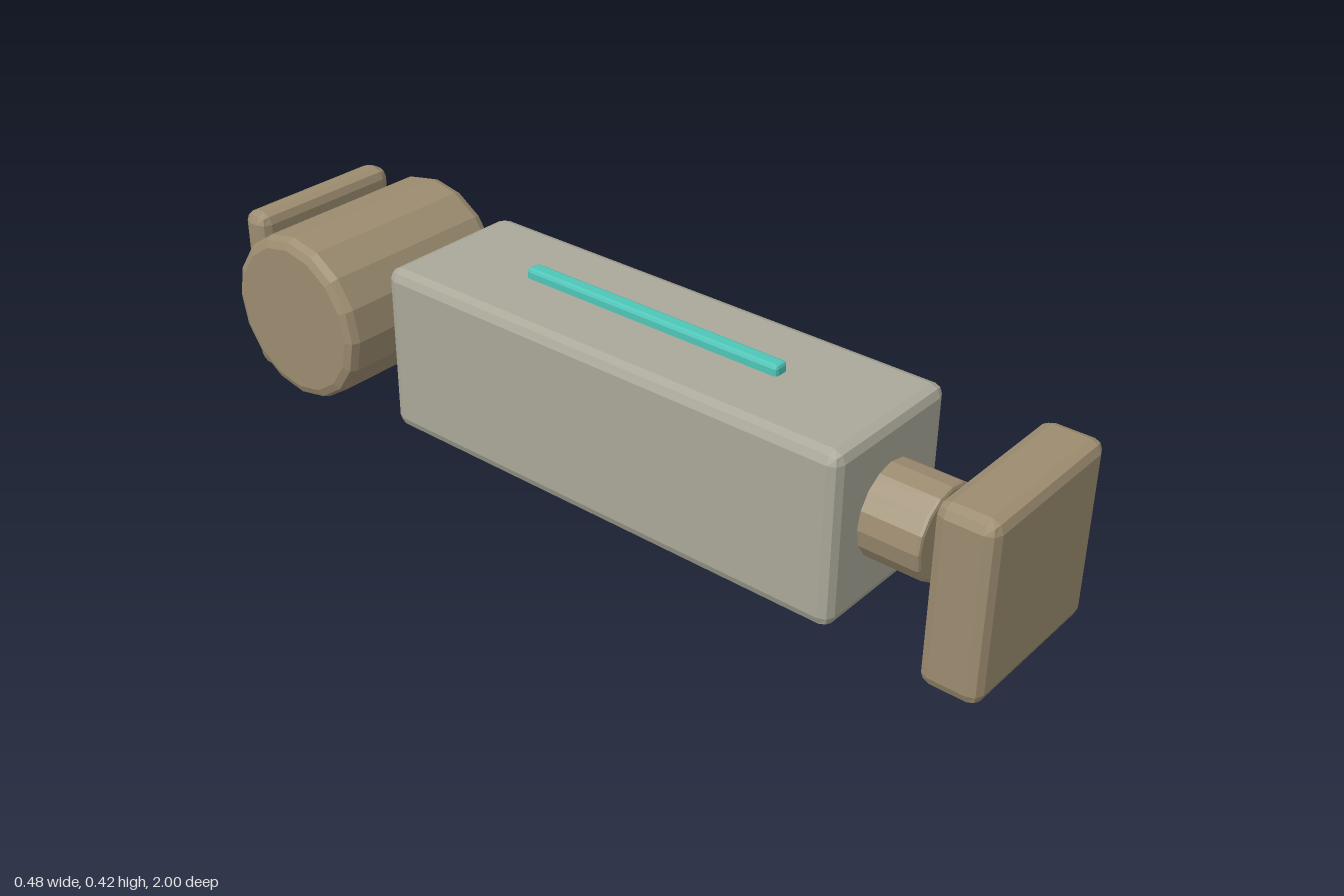
import * as THREE from 'three';
import { RoundedBoxGeometry } from 'three/addons/geometries/RoundedBoxGeometry.js';

const MID = 0.2; // height of the central axis

function material(name, color) {
  const m = new THREE.MeshStandardMaterial({ color, flatShading: true });
  m.name = name;
  return m;
}

// Box with two-step bevelled edges, given by its limits along y and z
function bevelBox(width, y0, y1, z0, z1, bevel) {
  return new RoundedBoxGeometry(width, y1 - y0, z1 - z0, 1, bevel)
    .translate(0, (y0 + y1) / 2, (z0 + z1) / 2);
}

// Sixteen-sided cylinder along y with two-step bevelled rims
function bevelCylinder(radius, length, bevel) {
  const h = length / 2;
  const k = bevel * (1 - Math.SQRT1_2);
  const rim = [[radius - bevel, h], [radius - k, h - k], [radius, h - bevel]];
  const lower = rim.map(([r, y]) => new THREE.Vector2(r, -y));
  const upper = rim.map(([r, y]) => new THREE.Vector2(r, y)).reverse();
  return new THREE.LatheGeometry(
    [new THREE.Vector2(0, -h), ...lower, ...upper, new THREE.Vector2(0, h)], 16);
}

export function createModel() {
  const group = new THREE.Group();
  const tan = material('tan', 0x9c8c70);
  const grey = material('warmGrey', 0xaaa899);
  const teal = material('teal', 0x4fc6b8);

  const add = (name, geometry, mat) => {
    const mesh = new THREE.Mesh(geometry, mat);
    mesh.name = name;
    group.add(mesh);
  };

  // Main body with a glowing strip on top
  add('body', bevelBox(0.37, 0.003, 0.397, -0.53, 0.663, 0.025), grey);
  add('topStrip', bevelBox(0.037, 0.38, 0.42, -0.267, 0.4, 0.008), teal);

  // Shafts at both ends of the body
  add('frontShaft', bevelCylinder(0.104, 0.3, 0.008)
    .rotateX(Math.PI / 2).translate(0, MID, 0.65), tan);
  add('backShaft', bevelCylinder(0.104, 0.3, 0.008)
    .rotateX(Math.PI / 2).translate(0, MID, -0.55), tan);

  // Separate square plate at the front
  add('frontPlate', bevelBox(0.395, 0, 0.4, 0.87, 1, 0.025), tan);

  // Cross drum and plate at the back
  add('backDrum', bevelCylinder(0.199, 0.48, 0.025)
    .rotateZ(Math.PI / 2).translate(0, MID, -0.798), tan);
  add('backPlate', bevelBox(0.395, 0, 0.4, -1, -0.927, 0.025), tan);

  return group;
}
